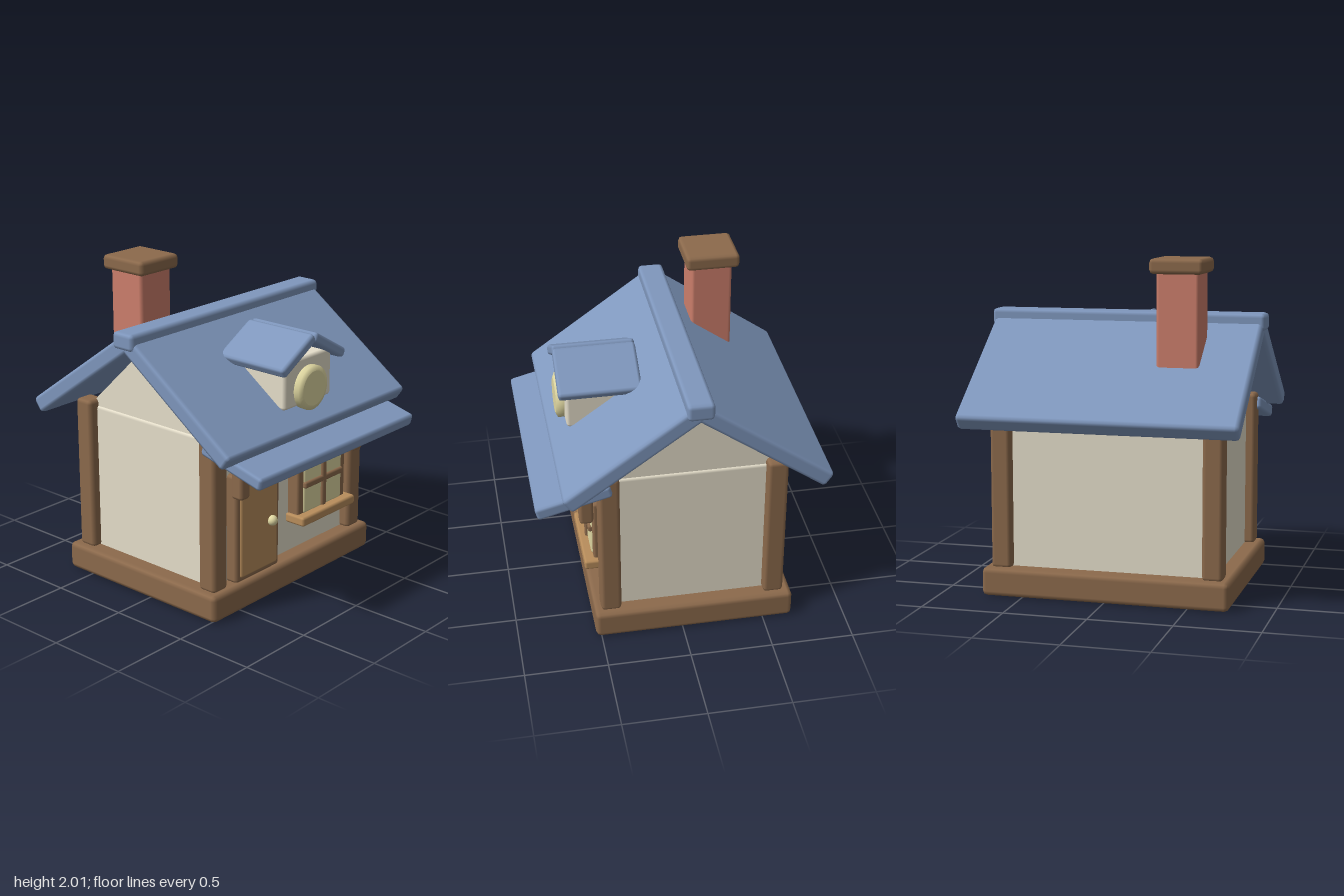
import * as THREE from 'three';
import { RoundedBoxGeometry } from 'three/addons/geometries/RoundedBoxGeometry.js';

const paint = (name, color) => {
  const m = new THREE.MeshStandardMaterial({ color });
  m.name = name;
  return m;
};

export function createModel() {
  const house = new THREE.Group();
  house.name = 'cottage';
  const blue = paint('roof blue', 0x7f97bd);
  const cream = paint('wall cream', 0xe6dfcb);
  const brown = paint('timber brown', 0x8c6a4c);
  const tan = paint('door tan', 0xb98e5c);
  const brick = paint('chimney brick', 0xcd7f6c);
  const yellow = paint('window yellow', 0xe0d8a2);
  const MID = -0.075; // z of the ridge and of the walls

  const add = (name, geometry, material) => {
    const mesh = new THREE.Mesh(geometry, material);
    mesh.name = name;
    house.add(mesh);
    return mesh;
  };

  // Bevelled block given by its limits on each axis
  const block = (name, material, [x0, x1], [y0, y1], [z0, z1], bevel = 0.025) => {
    const grow = bevel * 0.19; // a one-step bevel falls slightly short of full size
    const g = new RoundedBoxGeometry(x1 - x0 + grow, y1 - y0 + grow, z1 - z0 + grow, 1, bevel);
    const mesh = add(name, g, material);
    mesh.position.set((x0 + x1) / 2, (y0 + y1) / 2, (z0 + z1) / 2);
    return mesh;
  };

  // Bevelled slab whose centre line runs from (z0, y0) to (z1, y1)
  const slab = (name, width, thick, [z0, y0], [z1, y1], bevel) => {
    const length = Math.hypot(z1 - z0, y1 - y0);
    const mesh = block(name, blue, [-width / 2, width / 2], [-thick / 2, thick / 2], [-length / 2, length / 2], bevel);
    mesh.position.set(0, (y0 + y1) / 2, (z0 + z1) / 2);
    mesh.rotation.x = -Math.atan2(y1 - y0, z1 - z0);
    return mesh;
  };

  // Base, walls and corner posts
  block('base', brown, [-0.745, 0.745], [0, 0.165], [-0.68, 0.53], 0.03);
  block('walls', cream, [-0.64, 0.64], [0.15, 1.08], [-0.575, 0.425], 0.02);
  for (const x of [-0.64, 0.64]) {
    for (const z of [-0.57, 0.43]) {
      block('cornerPost', brown, [x - 0.06, x + 0.06], [0.16, 1.12], [z - 0.06, z + 0.06]);
    }
  }

  // Gable prism
  const triangle = new THREE.Shape([
    new THREE.Vector2(-0.5, 0), new THREE.Vector2(0.5, 0), new THREE.Vector2(0, 0.48),
  ]);
  const gable = add('gable', new THREE.ExtrudeGeometry(triangle, { depth: 1.26, bevelEnabled: false }), cream);
  gable.rotation.y = Math.PI / 2;
  gable.position.set(-0.63, 1.075, MID);

  // Main roof, ridge and awning
  slab('roofFront', 1.66, 0.1, [MID, 1.6], [MID + 0.765, 1.055], 0.025);
  slab('roofBack', 1.66, 0.1, [MID - 0.765, 1.055], [MID, 1.6], 0.025);
  block('ridge', blue, [-0.845, 0.845], [1.565, 1.665], [MID - 0.077, MID + 0.077], 0.025);
  slab('awning', 1.45, 0.075, [0.42, 1.06], [0.855, 0.947], 0.02);
  for (const x of [-0.535, 0.535]) {
    block('awningBracket', brown, [x - 0.04, x + 0.04], [0.735, 0.99], [0.51, 0.59], 0.02);
  }

  // Chimney
  block('chimney', brick, [-0.52, -0.27], [1.33, 1.94], [-0.48, -0.235], 0.02);
  block('chimneyCap', brown, [-0.55, -0.235], [1.915, 2], [-0.52, -0.2], 0.025);

  // Door
  block('doorFrame', brown, [-0.515, -0.125], [0.165, 0.84], [0.4, 0.5], 0.02);
  block('door', tan, [-0.485, -0.155], [0.195, 0.805], [0.42, 0.513], 0.015);
  const knob = add('doorKnob', new THREE.SphereGeometry(0.032, 16, 12), yellow);
  knob.position.set(-0.215, 0.485, 0.525);

  // Front window
  block('windowFrame', brown, [0.05, 0.51], [0.39, 0.82], [0.4, 0.505], 0.015);
  block('windowGlass', yellow, [0.095, 0.465], [0.425, 0.78], [0.44, 0.514], 0.015);
  block('windowBarVertical', brown, [0.26, 0.3], [0.43, 0.78], [0.48, 0.53], 0.012);
  block('windowBarHorizontal', brown, [0.095, 0.465], [0.59, 0.63], [0.48, 0.53], 0.012);
  block('windowSill', tan, [0.03, 0.545], [0.368, 0.425], [0.42, 0.565], 0.015);

  // Dormer body and its two roof slabs
  block('dormerBody', cream, [-0.215, 0.215], [1.19, 1.48], [0.15, 0.605], 0.02);
  const tilt = Math.atan2(0.16, 0.28);
  for (const side of [-1, 1]) {
    const half = block('dormerRoof', blue, [-0.163, 0.163], [-0.03, 0.03], [-0.245, 0.245], 0.02);
    half.position.set(side * 0.142, 1.518, 0.41);
    half.rotation.z = -side * tilt;
  }

  // Round dormer window: rim with a bevelled front, and a pane
  const rimProfile = [[0.135, 0], [0.135, 0.045], [0.105, 0.058]].map(([r, y]) => new THREE.Vector2(r, y));
  const rim = add('roundWindowRim', new THREE.LatheGeometry(rimProfile, 32), yellow);
  rim.rotation.x = Math.PI / 2;
  rim.position.set(0, 1.29, 0.597);
  const pane = add('roundWindowPane', new THREE.CircleGeometry(0.105, 32), yellow);
  pane.position.set(0, 1.29, 0.655);

  return house;
}
